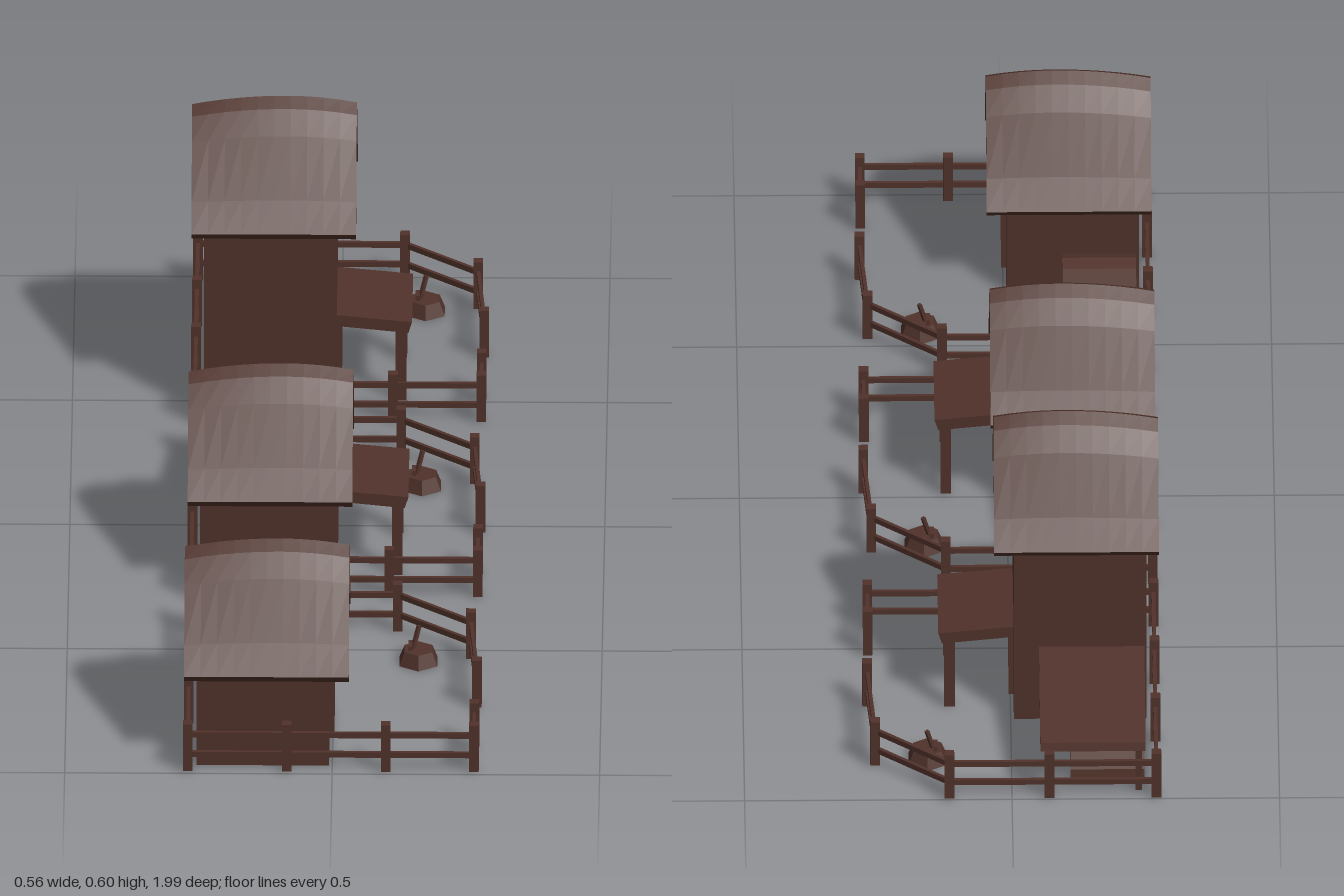
import * as THREE from 'three';

const wood = new THREE.MeshStandardMaterial({ color: 0x50322a });
wood.name = 'dark brown';

function add(parent, name, geometry) {
  const mesh = new THREE.Mesh(geometry, wood);
  mesh.name = name;
  parent.add(mesh);
  return mesh;
}

// Box given by its limits on each axis
function box(parent, name, x0, x1, y0, y1, z0, z1) {
  const mesh = add(parent, name, new THREE.BoxGeometry(x1 - x0, y1 - y0, z1 - z0));
  mesh.position.set((x0 + x1) / 2, (y0 + y1) / 2, (z0 + z1) / 2);
  return mesh;
}

// Profile of [z, y] points swept along x from x0 to x1
function sweep(points, x0, x1, steps = 1) {
  const shape = new THREE.Shape(points.map(p => new THREE.Vector2(p[0], p[1])));
  const g = new THREE.ExtrudeGeometry(shape, { depth: x1 - x0, steps, bevelEnabled: false });
  g.rotateY(-Math.PI / 2);
  g.translate(x1, 0, 0);
  return g;
}

// Square beam between two points
function beam(parent, name, a, b, w, h) {
  const p = new THREE.Vector3(...a), q = new THREE.Vector3(...b);
  const mesh = add(parent, name, new THREE.BoxGeometry(w, h, p.distanceTo(q)));
  mesh.position.copy(p).add(q).multiplyScalar(0.5);
  mesh.lookAt(q);
  return mesh;
}

const MID = 0.116; // z of the ridge
const mirrorZ = half => [
  ...half.map(([z, y]) => [MID + z, y]),
  ...half.filter(p => p[0] > 0).reverse().map(([z, y]) => [MID - z, y]),
];

function addRoof(parent, wall) {
  const outer = [[0, 0.205], [0.025, 0.19], [0.062, 0.152], [0.13, 0.052], [0.172, 0.002]];
  const inner = [[0.157, -0.015], [0.112, 0.036], [0.048, 0.13], [0, 0.178]];
  const right = [...outer, ...inner].map(([z, y]) => [MID + z, wall + y]);
  const left = [...inner.slice(0, 3).reverse(), ...outer.slice(1).reverse()]
    .map(([z, y]) => [MID - z, wall + y]);
  const g = sweep([...right, ...left], -0.277, 0.031, 10);
  // The ridge droops towards both gable ends
  const pos = g.attributes.position;
  for (let i = 0; i < pos.count; i++) {
    const x = pos.getX(i), y = pos.getY(i);
    const t = Math.max(0, (y - wall) / 0.2);
    const drop = x < -0.1 ? 0.018 * ((x + 0.1) / 0.177) ** 2 : 0.013 * ((x + 0.1) / 0.131) ** 2;
    pos.setY(i, y - drop * t);
  }
  g.computeVertexNormals();
  add(parent, 'roof', g);
}

function addFence(parent) {
  const fence = new THREE.Group();
  fence.name = 'fence';
  parent.add(fence);
  const posts = [
    [0.265, 0.19], [0.265, 0.28], [0.1, 0.28], [-0.085, 0.28], [-0.27, 0.28], [-0.27, 0.09],
    [-0.27, -0.1], [-0.27, -0.285], [-0.07, -0.285], [0.117, -0.285], [0.255, -0.175], [0.268, 0.02],
  ];
  posts.forEach(([x, z], i) => {
    box(fence, 'fencePost', x - 0.009, x + 0.009, 0.004, 0.102, z - 0.009, z + 0.009);
    if (i === 0) return;
    const [px, pz] = posts[i - 1];
    for (const y of [0.036, 0.077]) beam(fence, 'fenceRail', [px, y, pz], [x, y, z], 0.007, 0.011);
  });
}

function addStump(parent) {
  const stump = add(parent, 'choppingStump', new THREE.CylinderGeometry(0.03, 0.041, 0.027, 6).toNonIndexed());
  stump.geometry.computeVertexNormals();
  stump.position.set(0.157, 0.0155, -0.16);
  beam(parent, 'axeHandle', [0.146, 0.025, -0.16], [0.158, 0.072, -0.17], 0.007, 0.007);
  beam(parent, 'axeHead', [0.142, 0.032, -0.15], [0.142, 0.032, -0.175], 0.008, 0.014);
}

function addPorch(parent) {
  add(parent, 'porchRoof', new THREE.ExtrudeGeometry(
    new THREE.Shape([[-0.006, 0.161], [0.128, 0.147], [0.135, 0.17], [-0.006, 0.184]]
      .map(p => new THREE.Vector2(...p))), { depth: 0.195, bevelEnabled: false })).position.z = 0.01;
  for (const z of [0.011, 0.181]) box(parent, 'porchPost', 0.104, 0.124, 0.003, 0.152, z, z + 0.019);
}

function addLeanTo(parent) {
  const slope = [[-0.015, 0.15], [-0.015, 0.168], [-0.275, 0.116], [-0.279, 0.099]];
  add(parent, 'leanToRoof', sweep(slope.reverse(), -0.25, -0.053));
  for (const x of [-0.243, -0.073]) box(parent, 'leanToPost', x, x + 0.012, 0.003, 0.108, -0.268, -0.256);
}

function addHouse(parent, wall, porch) {
  const house = new THREE.Group();
  house.name = 'house';
  parent.add(house);
  // Walls with gables, reaching just under the roof
  const walls = mirrorZ([[0, wall + 0.185], [0.05, wall + 0.132], [0.115, wall + 0.04], [0.145, wall + 0.004], [0.145, 0.002]]);
  add(house, 'walls', sweep(walls, -0.254, -0.006));
  addRoof(house, wall);
  // Door and frame
  box(house, 'door', -0.008, 0, 0.003, 0.135, 0.062, 0.142);
  for (const z of [0.052, 0.142]) box(house, 'doorJamb', -0.008, 0.003, 0.003, 0.145, z, z + 0.01);
  box(house, 'doorLintel', -0.008, 0.003, 0.135, 0.147, 0.052, 0.152);
  // Gable timbers
  for (const x of [-0.259, -0.006]) {
    box(house, 'gablePost', x, x + 0.006, wall, wall + 0.17, MID - 0.007, MID + 0.007);
    box(house, 'gableBeam', x, x + 0.006, wall - 0.006, wall + 0.008, MID - 0.14, MID + 0.14);
  }
  // Heap against the back wall
  const heap = [[-0.02, 0.002], [-0.02, 0.085], [-0.062, 0.102], [-0.09, 0.096], [-0.165, 0.067], [-0.238, 0.03], [-0.242, 0.002]];
  add(house, 'heap', sweep(heap.reverse(), -0.248, -0.11));
  if (porch) {
    addPorch(house);
    addLeanTo(house);
  }
  addStump(house);
  addFence(house);
  return house;
}

export function createModel() {
  const model = new THREE.Group();
  model.name = 'farmsteads';
  addHouse(model, 0.2, false).position.z = 0.705;
  addHouse(model, 0.2, true);
  addHouse(model, 0.395, true).position.z = -0.705;
  return model;
}
